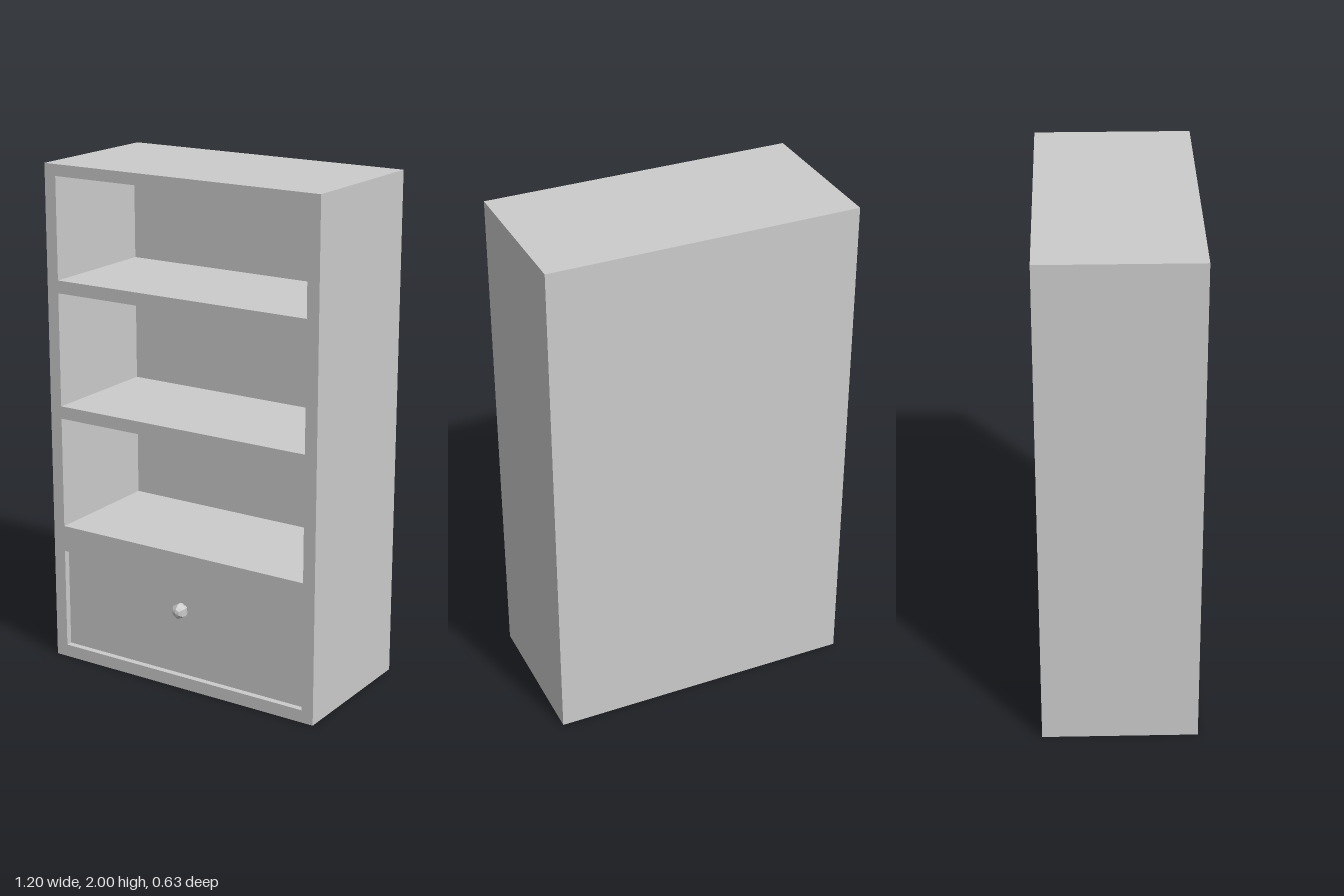
import * as THREE from 'three';

export function createModel() {
  const group = new THREE.Group();
  group.name = 'bookcase';
  const material = new THREE.MeshStandardMaterial({ color: 0xcccccc, flatShading: true });
  const add = (name, geometry, x, y, z) => {
    const mesh = new THREE.Mesh(geometry, material);
    mesh.name = name;
    mesh.position.set(x, y, z);
    group.add(mesh);
  };

  const width = 1.2, height = 2, inner = 1.1;
  const back = -0.315, front = 0.285, cavityBack = -0.22;
  // Bottom and top of the drawer opening and the three shelf openings
  const openings = [[0.05, 0.455], [0.56, 1.005], [1.055, 1.505], [1.555, 1.955]];

  const rectangle = (path, w, y0, y1) => {
    path.moveTo(-w / 2, y0);
    path.lineTo(w / 2, y0);
    path.lineTo(w / 2, y1);
    path.lineTo(-w / 2, y1);
    path.closePath();
    return path;
  };

  // Frame with sides, shelves, top and bottom in one piece
  const outline = rectangle(new THREE.Shape(), width, 0, height);
  for (const [y0, y1] of openings) outline.holes.push(rectangle(new THREE.Path(), inner, y0, y1));
  const frame = new THREE.ExtrudeGeometry(outline, { depth: front - cavityBack, bevelEnabled: false });
  add('shelfFrame', frame, 0, 0, cavityBack);

  // Back panel closing the compartments
  const backDepth = cavityBack - back;
  add('backPanel', new THREE.BoxGeometry(width, height, backDepth), 0, height / 2, back + backDepth / 2);

  // Drawer set slightly behind the frame
  const [d0, d1] = openings[0];
  const drawerFront = 0.26, drawerDepth = drawerFront - cavityBack;
  add('drawer', new THREE.BoxGeometry(inner, d1 - d0, drawerDepth), 0, (d0 + d1) / 2, drawerFront - drawerDepth / 2);

  // Faceted knob with its pole facing forward
  const knob = new THREE.SphereGeometry(0.032, 6, 6).rotateY(Math.PI / 6).rotateX(Math.PI / 2);
  add('drawerKnob', knob, 0, 0.323, 0.282);

  return group;
}
